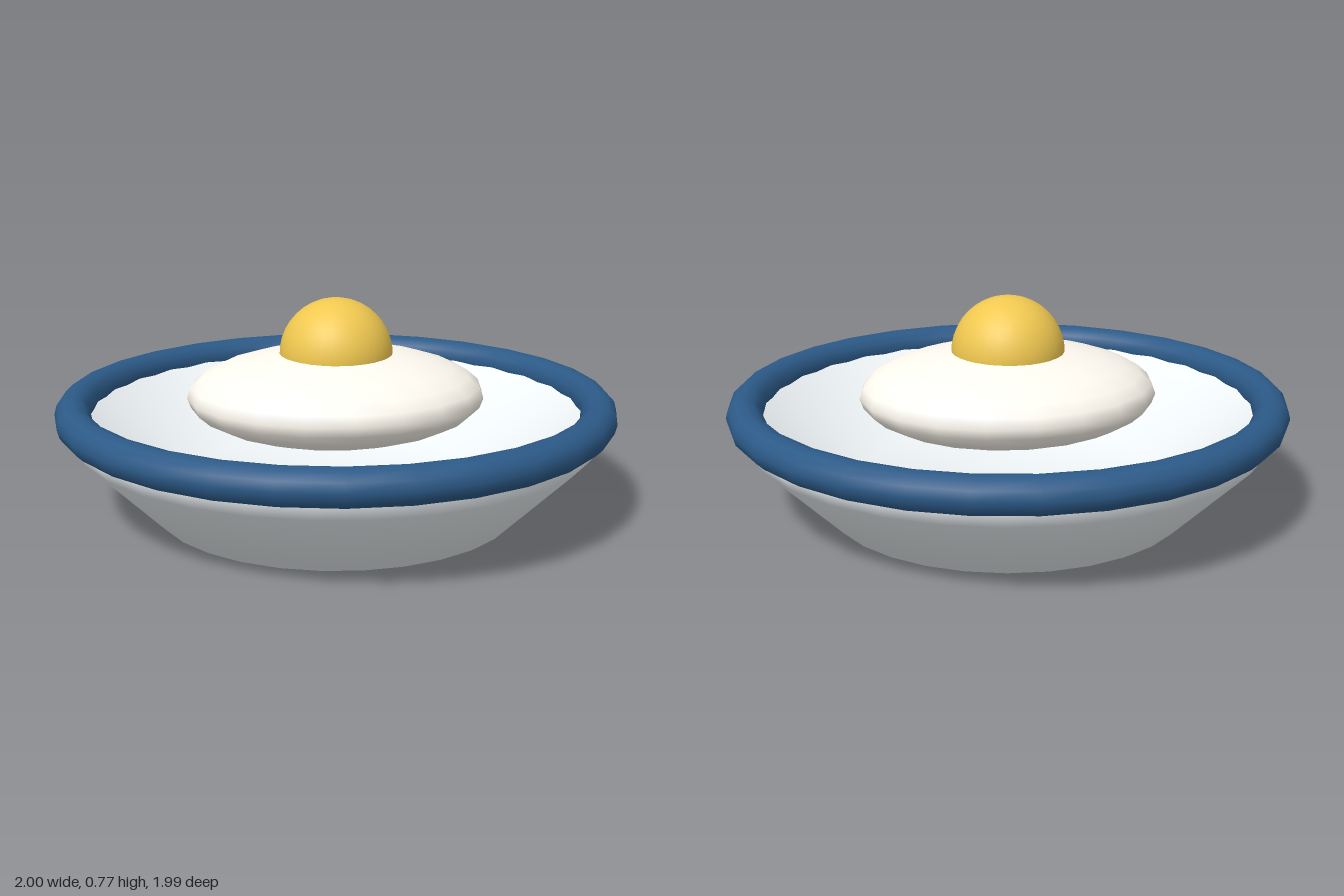
import * as THREE from 'three';

export function createModel() {
  const model = new THREE.Group();

  function add(name, geometry, color, y, side = THREE.FrontSide) {
    const mesh = new THREE.Mesh(geometry, new THREE.MeshStandardMaterial({ color, side }));
    mesh.name = name;
    mesh.position.y = y;
    model.add(mesh);
    return mesh;
  }

  // Dish: hollowed underside, flared outer wall, edge inside the rim, sloping inner wall, flat floor
  const profile = [
    [0, 0.1], [0.655, 0], [0.925, 0.27], [0.96, 0.32], [0.955, 0.37],
    [0.88, 0.37], [0.52, 0.12], [0, 0.12],
  ].map(([r, y]) => new THREE.Vector2(r, y));
  add('dish', new THREE.LatheGeometry(profile, 30), 0xf0f5f8, 0, THREE.DoubleSide);

  // Rounded rim
  const rim = new THREE.TorusGeometry(0.937, 0.063, 12, 30);
  rim.rotateX(Math.PI / 2);
  add('rim', rim, 0x2c5a88, 0.378);

  // Oval, flattened egg white
  const white = new THREE.SphereGeometry(1, 20, 14);
  white.scale(0.535, 0.164, 0.466);
  add('eggWhite', white, 0xfffaf0, 0.42);

  // Yolk half sunk into the white
  add('yolk', new THREE.SphereGeometry(0.203, 32, 20), 0xf0c850, 0.565);

  return model;
}
